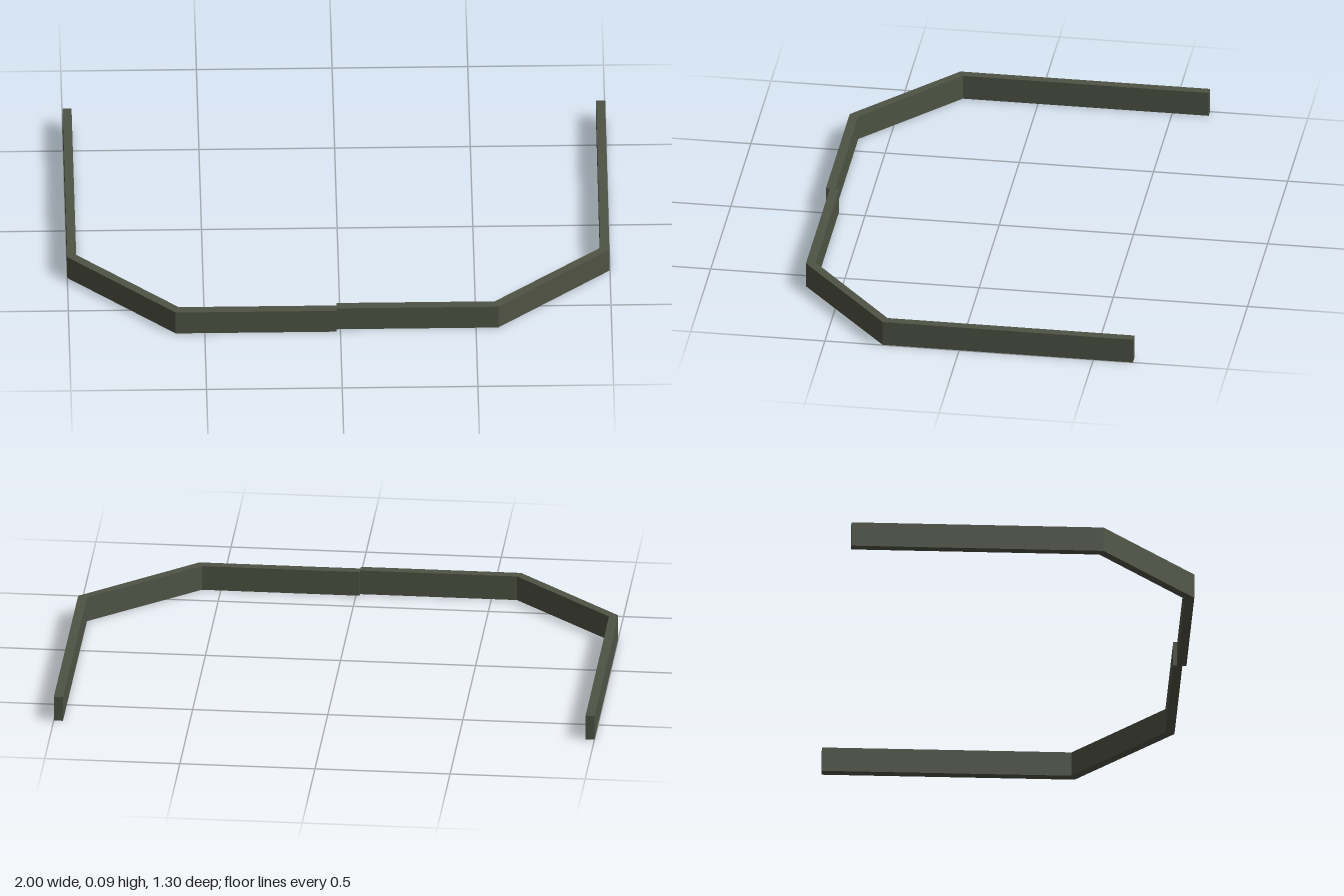
import * as THREE from 'three';

const HEIGHT = 0.095;

// Extrudes a plan outline of [x, z] points upwards from the ground
function wall(name, outer, inner, material) {
  const outline = [...outer, ...inner.slice().reverse()];
  const shape = new THREE.Shape(outline.map(([x, z]) => new THREE.Vector2(x, -z)));
  const geometry = new THREE.ExtrudeGeometry(shape, { depth: HEIGHT, bevelEnabled: false });
  geometry.rotateX(-Math.PI / 2);
  const mesh = new THREE.Mesh(geometry, material);
  mesh.name = name;
  return mesh;
}

export function createModel() {
  const group = new THREE.Group();
  group.name = 'angledBand';
  const olive = new THREE.MeshStandardMaterial({ color: 0x4f5344 });
  olive.name = 'darkOlive';

  // Right half: side arm, angled corner and front bar
  group.add(wall('rightHalf',
    [[-1, -0.636], [-1, 0.294], [-0.607, 0.648], [-0.014, 0.648]],
    [[-0.967, -0.636], [-0.967, 0.28], [-0.595, 0.614], [-0.014, 0.614]],
    olive));

  // Left half, set slightly further back than the right
  group.add(wall('leftHalf',
    [[1, -0.648], [0.998, 0.285], [0.582, 0.633], [-0.014, 0.633]],
    [[0.966, -0.648], [0.964, 0.272], [0.57, 0.599], [-0.014, 0.599]],
    olive));

  return group;
}
